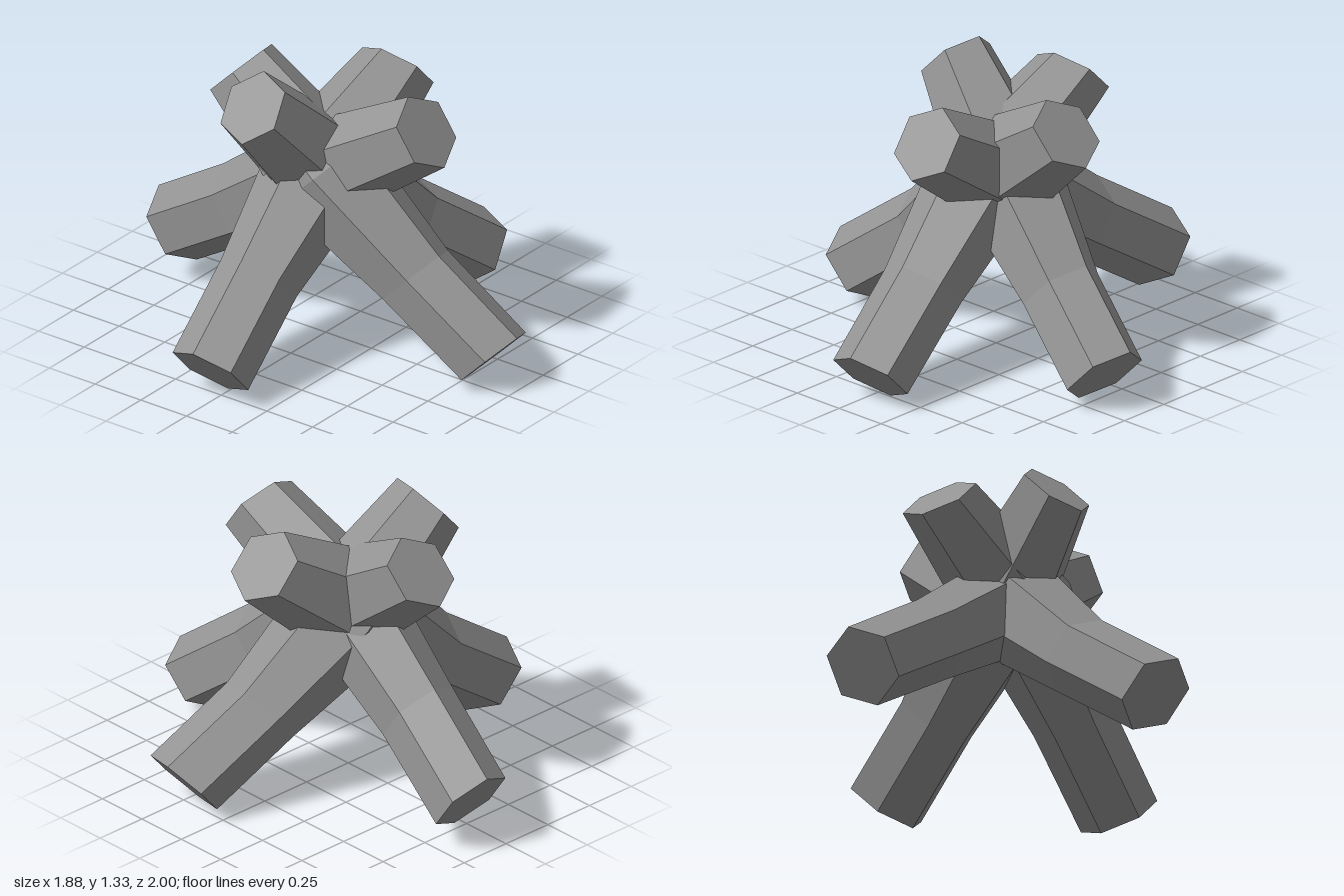
import * as THREE from 'three';

const SIDES = 6;

// Four bent hexagonal logs that cross in the middle, each from its foot to its top end.
// path: ring centres, up: centre to the uppermost corner, axis: normal of the end cuts,
// girth: thickness at each ring, swollen where the logs meet
const LOGS = [
  { name: 'rightFootLog', up: [-0.125, 0.135, 0], axis: [0.73, 0.68, 0], girth: [1, 1, 1.35, 0.94],
    path: [[-0.815, 0.145, -0.01], [-0.42, 0.43, -0.045], [0.01, 0.82, -0.02], [0.46, 1.14, 0.045]] },
  { name: 'leftFootLog', up: [0.125, 0.135, -0.03], axis: [-0.74, 0.66, -0.13], girth: [1, 1, 1.33, 0.92],
    path: [[0.815, 0.145, 0.18], [0.455, 0.415, 0.075], [0.05, 0.77, -0.035], [-0.36, 1.213, -0.125]] },
  { name: 'frontFootLog', up: [0, 0.13, 0.13], axis: [-0.06, 0.7, -0.7], girth: [0.98, 1, 1.33, 0.94],
    path: [[0.065, 0.132, 0.87], [0.015, 0.43, 0.48], [-0.035, 0.81, 0.02], [0.015, 1.15, -0.475]] },
  { name: 'backFootLog', up: [0, 0.152, -0.105], axis: [0, 0.57, 0.82], girth: [0.99, 1, 1.2, 0.94],
    path: [[0.112, 0.217, -0.895], [0.045, 0.475, -0.49], [0.005, 0.81, 0], [0.06, 1.118, 0.505]] },
];

function logGeometry({ path, up, axis, girth }) {
  const n = new THREE.Vector3(...axis).normalize();
  const u = new THREE.Vector3(...up);
  const v = new THREE.Vector3().crossVectors(n, u);
  const last = path.length - 1;
  const points = [];
  const index = [];

  // Parallel hexagonal rings
  path.forEach((centre, k) => {
    for (let i = 0; i < SIDES; i++) {
      const a = (i / SIDES) * Math.PI * 2;
      const p = new THREE.Vector3(...centre)
        .addScaledVector(u, Math.cos(a) * girth[k])
        .addScaledVector(v, Math.sin(a) * girth[k]);
      points.push(p.x, p.y, p.z);
    }
  });

  // Bark faces
  for (let k = 0; k < last; k++) {
    for (let i = 0; i < SIDES; i++) {
      const a = k * SIDES + i;
      const b = k * SIDES + ((i + 1) % SIDES);
      index.push(a, b, b + SIDES, a, b + SIDES, a + SIDES);
    }
  }

  // Cut ends
  const t = last * SIDES;
  for (let i = 1; i < SIDES - 1; i++) {
    index.push(0, i + 1, i, t, t + i, t + i + 1);
  }

  const indexed = new THREE.BufferGeometry();
  indexed.setAttribute('position', new THREE.Float32BufferAttribute(points, 3));
  indexed.setIndex(index);
  const geometry = indexed.toNonIndexed();
  geometry.computeVertexNormals();
  return geometry;
}

export function createModel() {
  const group = new THREE.Group();
  group.name = 'logStack';
  const material = new THREE.MeshStandardMaterial({ color: 0x949494, flatShading: true });
  for (const log of LOGS) {
    const mesh = new THREE.Mesh(logGeometry(log), material);
    mesh.name = log.name;
    group.add(mesh);
  }
  return group;
}
